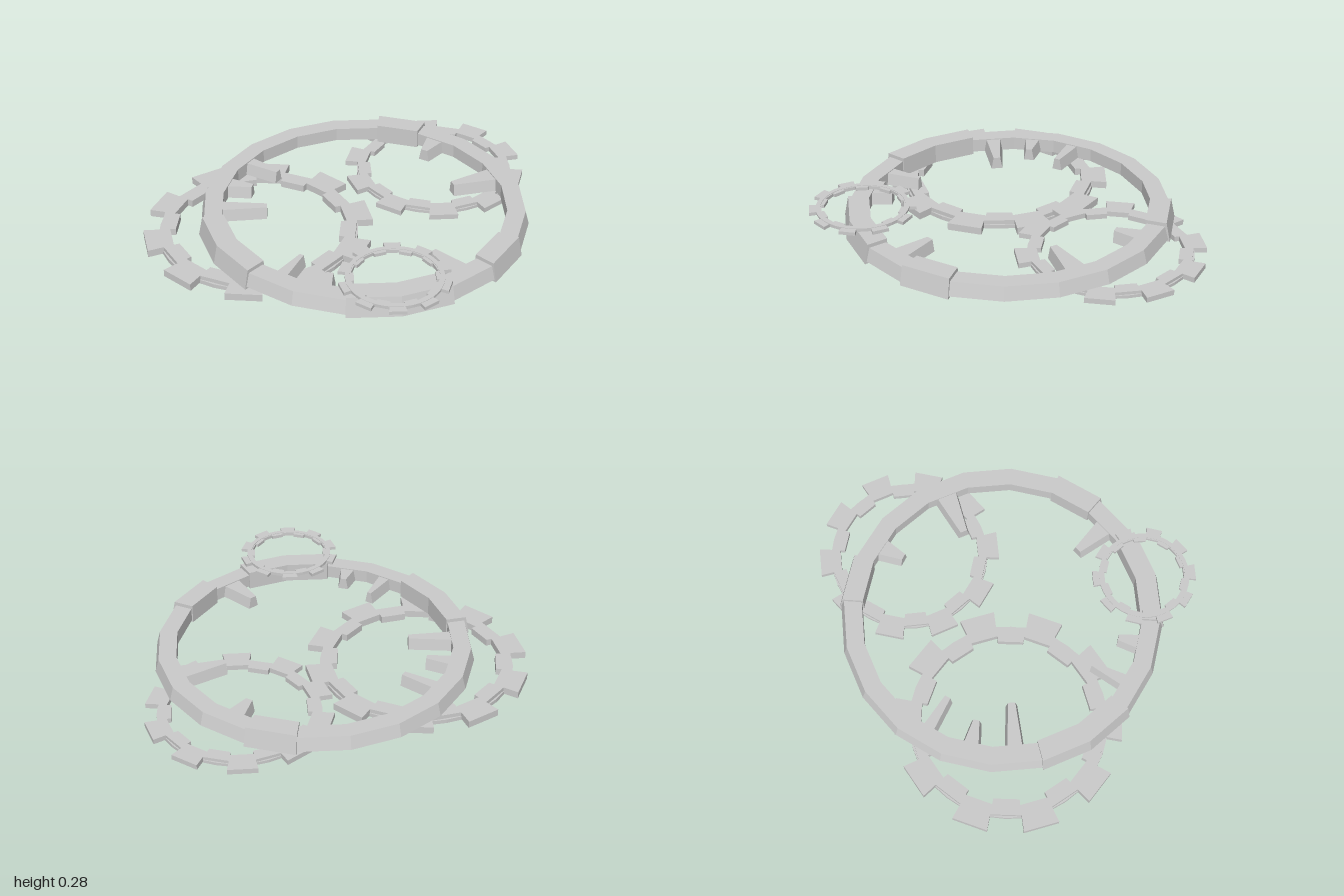
import * as THREE from 'three';

const RAD = Math.PI / 180;
const CX = 0.115, CZ = 0.085; // centre of the main ring
const mat = new THREE.MeshStandardMaterial({ color: 0xcccccc, flatShading: true, side: THREE.DoubleSide });

function add(parent, geometry, name) {
  const mesh = new THREE.Mesh(geometry, mat);
  mesh.name = name;
  parent.add(mesh);
  return mesh;
}

// Part of a ring with the given (radius, height) section; angles run from +x towards +z
function arc(parent, name, profile, from, to, segments) {
  const group = new THREE.Group();
  group.name = name;
  const pts = profile.map(p => new THREE.Vector2(...p));
  const start = (90 - to) * RAD, length = (to - from) * RAD;
  add(group, new THREE.LatheGeometry([...pts, pts[0]], segments, start, length), name + 'Body');
  if (to - from < 360) {
    for (const phi of [start, start + length]) {
      add(group, new THREE.ShapeGeometry(new THREE.Shape(pts)).rotateY(phi - Math.PI / 2), name + 'End');
    }
  }
  parent.add(group);
}

// Tapered spike from the ring (base) to a tip, wider at the bottom
function spike(parent, [bx, bz, tx, tz, baseW, tipW]) {
  const dir = new THREE.Vector2(tx - bx, tz - bz).normalize();
  const geo = new THREE.BoxGeometry(1, 1, 1);
  const p = geo.attributes.position;
  for (let i = 0; i < p.count; i++) {
    const t = p.getX(i) + 0.5, top = p.getY(i) > 0;
    const side = Math.sign(p.getZ(i)) * (THREE.MathUtils.lerp(baseW, tipW, t) / 2 + (top ? -0.004 : 0.008));
    const x = THREE.MathUtils.lerp(bx, tx, t), z = THREE.MathUtils.lerp(bz, tz, t);
    p.setXYZ(i, x - dir.y * side, top ? 0.18 : 0.115, z + dir.x * side);
  }
  add(parent, geo, 'spike');
}

// Closed square wave outline: one step for each tooth, one for each gap
function wave(path, teeth, rTooth, rGap) {
  const step = Math.PI / teeth;
  for (let i = 0; i < teeth * 2; i++) {
    const r = i % 2 ? rGap : rTooth;
    for (const a of [(i - 0.5) * step, (i + 0.5) * step]) {
      const x = r * Math.cos(a), y = r * Math.sin(a);
      if (i === 0 && a < 0) path.moveTo(x, y); else path.lineTo(x, y);
    }
  }
  path.closePath();
  return path;
}

// Cog: a toothed band on a smooth round rim
function cog(name, scale, x, y, z, height, turn, rimOnTop) {
  const group = new THREE.Group();
  group.name = name;
  const shape = wave(new THREE.Shape(), 10, 0.605, 0.52);
  shape.holes.push(wave(new THREE.Path(), 10, 0.465, 0.435));
  const lip = height * 0.12;
  const band = new THREE.ExtrudeGeometry(shape, { depth: height - lip, bevelEnabled: false });
  band.rotateX(Math.PI / 2).scale(scale, 1, scale).translate(0, rimOnTop ? height - lip : height, 0);
  add(group, band, 'toothedBand');
  const low = rimOnTop ? height / 2 : 0, high = low + height / 2;
  const a = 0.475 * scale, b = 0.525 * scale;
  arc(group, 'rim', [[b, low], [b, high], [a, high], [a, low]], 0, 360, 40);
  group.position.set(x, y, z);
  group.rotation.y = -turn * RAD;
  return group;
}

export function createModel() {
  const model = new THREE.Group();
  model.name = 'ringWithCogs';

  // Main ring of twenty sides, with thicker sleeves over some of them
  const ring = new THREE.Group();
  ring.name = 'mainRing';
  ring.position.set(CX, 0, CZ);
  arc(ring, 'hoop', [[0.86, 0.112], [0.84, 0.185], [0.745, 0.185], [0.745, 0.112]], 0, 360, 20);
  const sleeve = [[0.87, 0.1], [0.848, 0.205], [0.738, 0.205], [0.738, 0.1]];
  for (const [from, to] of [[0, 18], [36, 72], [108, 144], [252, 270]]) {
    arc(ring, 'sleeve', sleeve, from, to, (to - from) / 18);
  }
  model.add(ring);

  // Spikes pointing inwards: base x, z, tip x, z, base width, tip width
  const spikes = new THREE.Group();
  spikes.name = 'spikes';
  [
    [-0.66, -0.035, -0.43, 0.0, 0.075, 0.04],
    [-0.66, 0.215, -0.49, 0.185, 0.1, 0.04],
    [-0.62, 0.455, -0.335, 0.32, 0.1, 0.045],
    [-0.005, 0.86, 0.02, 0.635, 0.08, 0.03],
    [0.235, 0.86, 0.21, 0.71, 0.1, 0.04],
    [0.82, 0.44, 0.6, 0.335, 0.12, 0.045],
    [0.67, -0.48, 0.47, -0.275, 0.13, 0.045],
    [0.225, -0.69, 0.21, -0.52, 0.12, 0.045],
  ].forEach(s => spike(spikes, s));
  model.add(spikes);

  // Three cogs at different heights
  model.add(cog('largeCog', 1, -0.385, 0, 0.325, 0.045, -2, false));
  model.add(cog('middleCog', 0.81, 0.27, 0.068, -0.515, 0.032, -10, false));
  model.add(cog('smallCog', 0.455, 0.555, 0.255, 0.72, 0.02, -8, true));
  return model;
}
